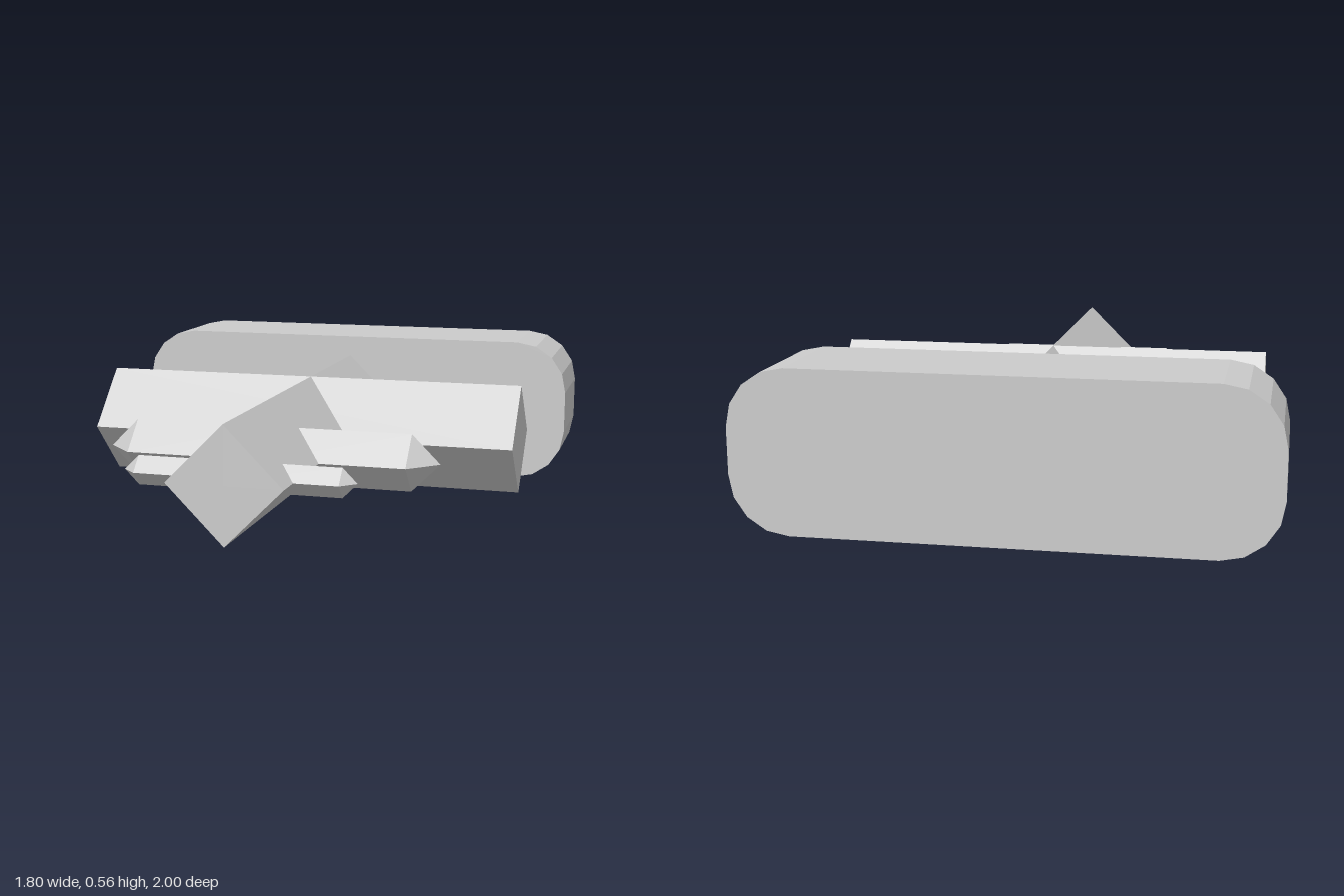
import * as THREE from 'three';

const material = new THREE.MeshStandardMaterial({ color: 0xcccccc, flatShading: true });
const AXIS_Y = 0.28; // height of the common centre line

function add(group, name, geometry, x, y, z) {
  const mesh = new THREE.Mesh(geometry, material);
  mesh.name = name;
  mesh.position.set(x, y, z);
  group.add(mesh);
  return mesh;
}

// Rounded slab: outline in x/y, extruded along z
function slabGeometry(halfW, halfH, r, depth) {
  const s = new THREE.Shape();
  const w = halfW - r, h = halfH - r;
  s.absarc(w, h, r, 0, Math.PI / 2);
  s.absarc(-w, h, r, Math.PI / 2, Math.PI);
  s.absarc(-w, -h, r, Math.PI, Math.PI * 1.5);
  s.absarc(w, -h, r, Math.PI * 1.5, Math.PI * 2);
  return new THREE.ExtrudeGeometry(s, { depth, bevelEnabled: false, curveSegments: 2 });
}

// Square bar standing on edge
const barGeometry = (r, length) => new THREE.CylinderGeometry(r, r, length, 4);

// Four-sided bar with a pyramid tip, growing from the origin along +y
function podGeometry(r, length) {
  const profile = [[r, 0], [r, length], [0, length + r]].map(p => new THREE.Vector2(...p));
  return new THREE.LatheGeometry(profile, 4);
}

export function createModel() {
  const model = new THREE.Group();
  model.name = 'model';

  // Rear slab
  add(model, 'rearSlab', slabGeometry(0.9, 0.28, 0.2, 0.4), 0, AXIS_Y, -1);

  // Long body and crossbar
  add(model, 'body', barGeometry(0.2, 1.6).rotateX(Math.PI / 2), 0, AXIS_Y, 0.2);
  add(model, 'crossbar', barGeometry(0.2, 1.6).rotateZ(Math.PI / 2), 0, AXIS_Y, 0);

  // Mirrored pairs of pointed side pods
  const pods = [['largePod', 0.1, 0.5, 0.5], ['smallPod', 0.05, 0.35, 0.85]];
  for (const [name, r, length, z] of pods) {
    for (const side of [1, -1]) {
      const geometry = podGeometry(r, length).rotateZ(-side * Math.PI / 2);
      add(model, name + (side > 0 ? 'Left' : 'Right'), geometry, 0, AXIS_Y, z);
    }
  }
  return model;
}
